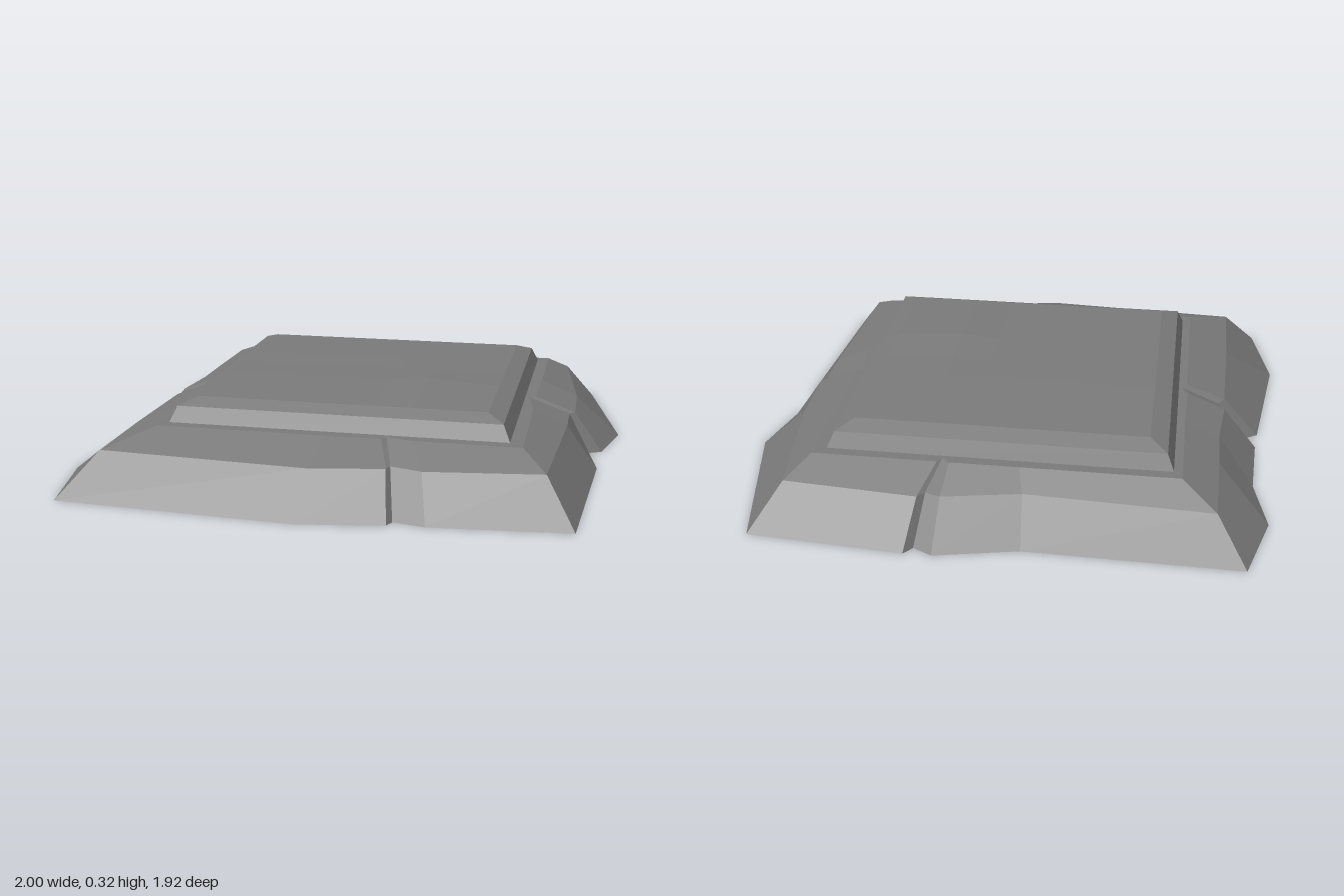
import * as THREE from 'three';

const material = new THREE.MeshStandardMaterial({ color: 0x7b7b7b });

// Mesh from three- or four-cornered faces, each shaded evenly with one normal
function meshFrom(name, faces) {
  const positions = [], normals = [];
  for (const face of faces) {
    const [a, b, c, d = face[0]] = face.map(p => new THREE.Vector3(...p));
    const last = face.length === 4 ? d : a;
    const normal = c.clone().sub(a).cross(last.clone().sub(b)).normalize();
    const corners = face.length === 4 ? [a, b, c, a, c, d] : [a, b, c];
    for (const p of corners) {
      positions.push(...p.toArray());
      normals.push(...normal.toArray());
    }
  }
  const geometry = new THREE.BufferGeometry();
  geometry.setAttribute('position', new THREE.Float32BufferAttribute(positions, 3));
  geometry.setAttribute('normal', new THREE.Float32BufferAttribute(normals, 3));
  const mesh = new THREE.Mesh(geometry, material);
  mesh.name = name;
  return mesh;
}

// Walls between successive rings of [x, y, z] points, counter-clockwise from above
function walls(rings) {
  return rings.slice(1).flatMap((upper, r) => upper.map((p, i) => {
    const lower = rings[r], j = (i + 1) % upper.length;
    return [lower[i], lower[j], upper[j], p];
  }));
}

// Flat lid on a ring, facing up or down
function lid(ring, up) {
  const contour = ring.map(([x, , z]) => new THREE.Vector2(x, -z));
  return THREE.ShapeUtils.triangulateShape(contour, []).map(([a, b, c]) =>
    up ? [ring[a], ring[b], ring[c]] : [ring[a], ring[c], ring[b]]);
}

const rectangle = (x0, x1, z0, z1, y) => [[x0, y, z1], [x1, y, z1], [x1, y, z0], [x0, y, z0]];

export function createModel() {
  const group = new THREE.Group();
  group.name = 'stonePlinth';

  // Ragged base: each row is foot x, z, shoulder x, z, rim x, z
  const outline = [
    // front edge with a crack
    [-0.93, 0.907, -0.80, 0.785, -0.64, 0.637],
    [-0.04, 0.96, -0.03, 0.835, -0.02, 0.637],
    [0.26, 0.908, 0.235, 0.785, 0.19, 0.637],
    [0.275, 0.873, 0.245, 0.755, 0.205, 0.61],
    [0.39, 0.898, 0.36, 0.79, 0.30, 0.637],
    [0.883, 0.853, 0.775, 0.735, 0.685, 0.637],
    // left side (+x) with a crack
    [0.928, 0.16, 0.81, 0.14, 0.68, 0.14],
    [0.89, -0.03, 0.81, -0.03, 0.65, -0.03],
    [0.94, -0.055, 0.83, -0.05, 0.675, -0.045],
    [1.0, -0.30, 0.825, -0.30, 0.68, -0.30],
    [0.87, -0.92, 0.76, -0.80, 0.68, -0.695],
    // back edge with a crack
    [0.30, -0.962, 0.27, -0.84, 0.225, -0.695],
    [0.27, -0.925, 0.245, -0.81, 0.21, -0.67],
    [0.20, -0.96, 0.19, -0.83, 0.18, -0.695],
    [-0.10, -0.895, -0.09, -0.775, -0.07, -0.695],
    [-0.875, -0.91, -0.765, -0.81, -0.64, -0.695],
    // right side (-x) with a crack
    [-0.955, -0.62, -0.77, -0.48, -0.64, -0.48],
    [-0.905, -0.37, -0.77, -0.29, -0.64, -0.29],
    [-0.92, -0.08, -0.79, -0.075, -0.645, -0.065],
    [-0.86, -0.03, -0.765, -0.03, -0.62, -0.02],
    [-0.93, 0.015, -0.79, 0.01, -0.64, 0.0],
    [-1.0, 0.55, -0.80, 0.42, -0.64, 0.42],
  ];
  const baseRings = [0, 0.157, 0.215].map((y, k) => outline.map(p => [p[2 * k], y, p[2 * k + 1]]));
  group.add(meshFrom('base', [
    ...walls(baseRings), ...lid(baseRings[0], false), ...lid(baseRings[2], true),
  ]));

  // Raised square slab with bevelled sides
  group.add(meshFrom('slab', walls([
    rectangle(-0.61, 0.637, -0.655, 0.59, 0.213),
    rectangle(-0.585, 0.61, -0.63, 0.565, 0.272),
    rectangle(-0.52, 0.55, -0.565, 0.505, 0.297),
  ])));

  // Slightly uneven top face with two low bumps
  const xs = [-0.52, 0, 0.13, 0.28, 0.55], zs = [-0.565, -0.2, -0.06, 0.14, 0.505];
  const bumps = { '1,1': 0.307, '3,3': 0.316 };
  const isEdge = k => k === 0 || k === 4;
  const point = (i, j) => [xs[i], bumps[`${i},${j}`] ?? (isEdge(i) || isEdge(j) ? 0.297 : 0.302), zs[j]];
  const top = [];
  for (let i = 0; i < 4; i++) {
    for (let j = 0; j < 4; j++) {
      top.push([point(i, j), point(i, j + 1), point(i + 1, j + 1), point(i + 1, j)]);
    }
  }
  group.add(meshFrom('wornTop', top));

  return group;
}
